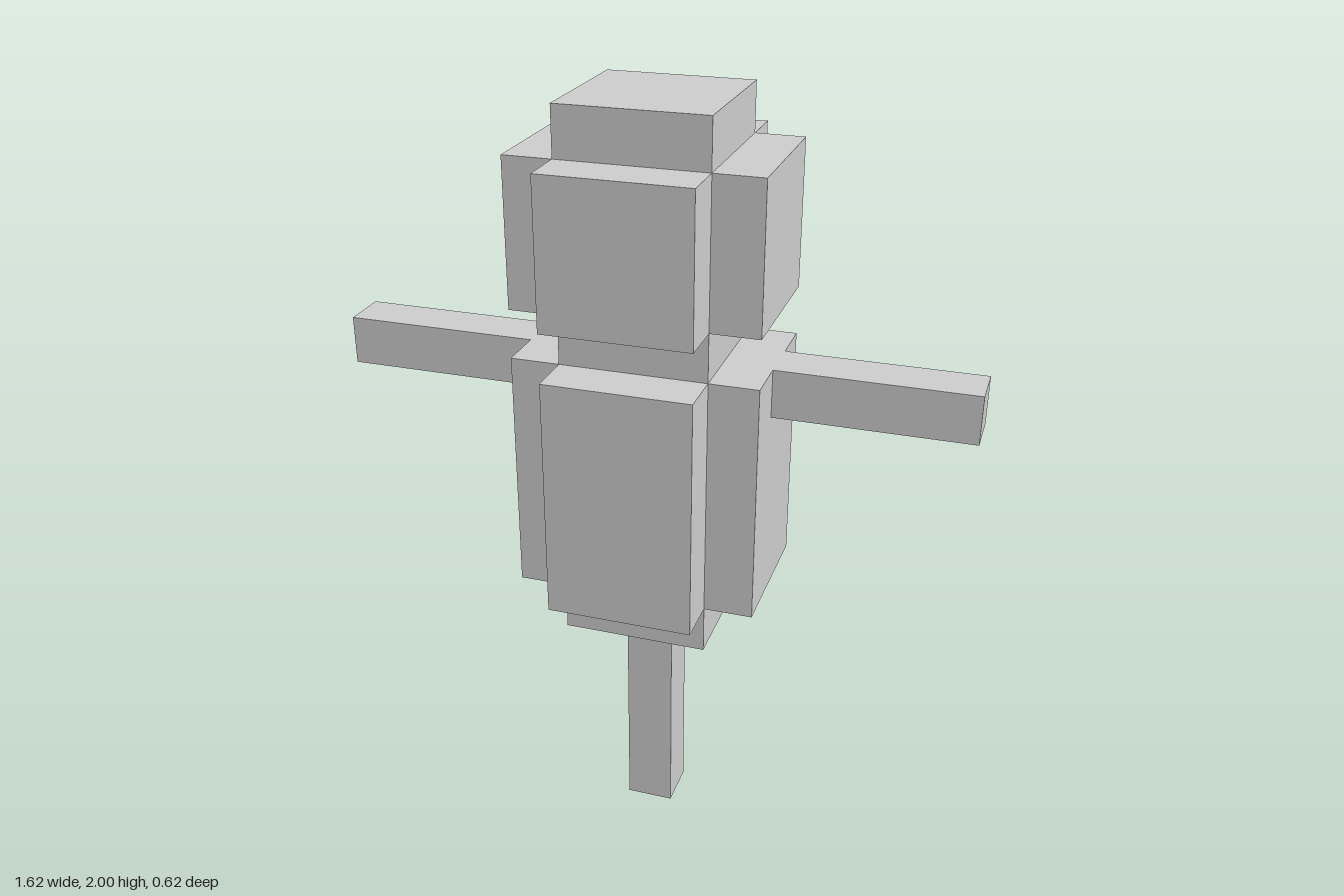
import * as THREE from 'three';

const U = 1 / 16; // block unit: every size is a whole or half number of these
const material = new THREE.MeshStandardMaterial({ color: 0xcccccc, flatShading: true });

function box(name, w, h, d, x, bottom, z) {
  const mesh = new THREE.Mesh(new THREE.BoxGeometry(w * U, h * U, d * U), material);
  mesh.name = name;
  mesh.position.set(x * U, (bottom + h / 2) * U, z * U);
  return mesh;
}

// Four panels wrapped around the square core, giving a plus-shaped section
function panels(part, bottom, height) {
  const group = new THREE.Group();
  group.name = part;
  for (const s of [1, -1]) {
    group.add(box(part + (s > 0 ? 'LeftPanel' : 'RightPanel'), 2, height, 6, s * 4, bottom, 0));
    group.add(box(part + (s > 0 ? 'FrontPanel' : 'BackPanel'), 6, height, 2, 0, bottom, s * 4));
  }
  return group;
}

export function createModel() {
  const model = new THREE.Group();
  model.name = 'blockFigure';

  // Post the figure stands on
  model.add(box('post', 2, 10, 2, 0, 0, 0));

  // Core running from the base of the body through the neck to the crown
  model.add(box('core', 6, 22, 6, 0, 10, 0));

  // Body and head bulges
  model.add(panels('body', 12, 10));
  model.add(panels('head', 24, 6));

  // Straight stick arms, flush with the top of the body
  for (const s of [1, -1]) {
    model.add(box(s > 0 ? 'leftArm' : 'rightArm', 8, 2, 2, s * 9, 20, 0));
  }
  return model;
}
